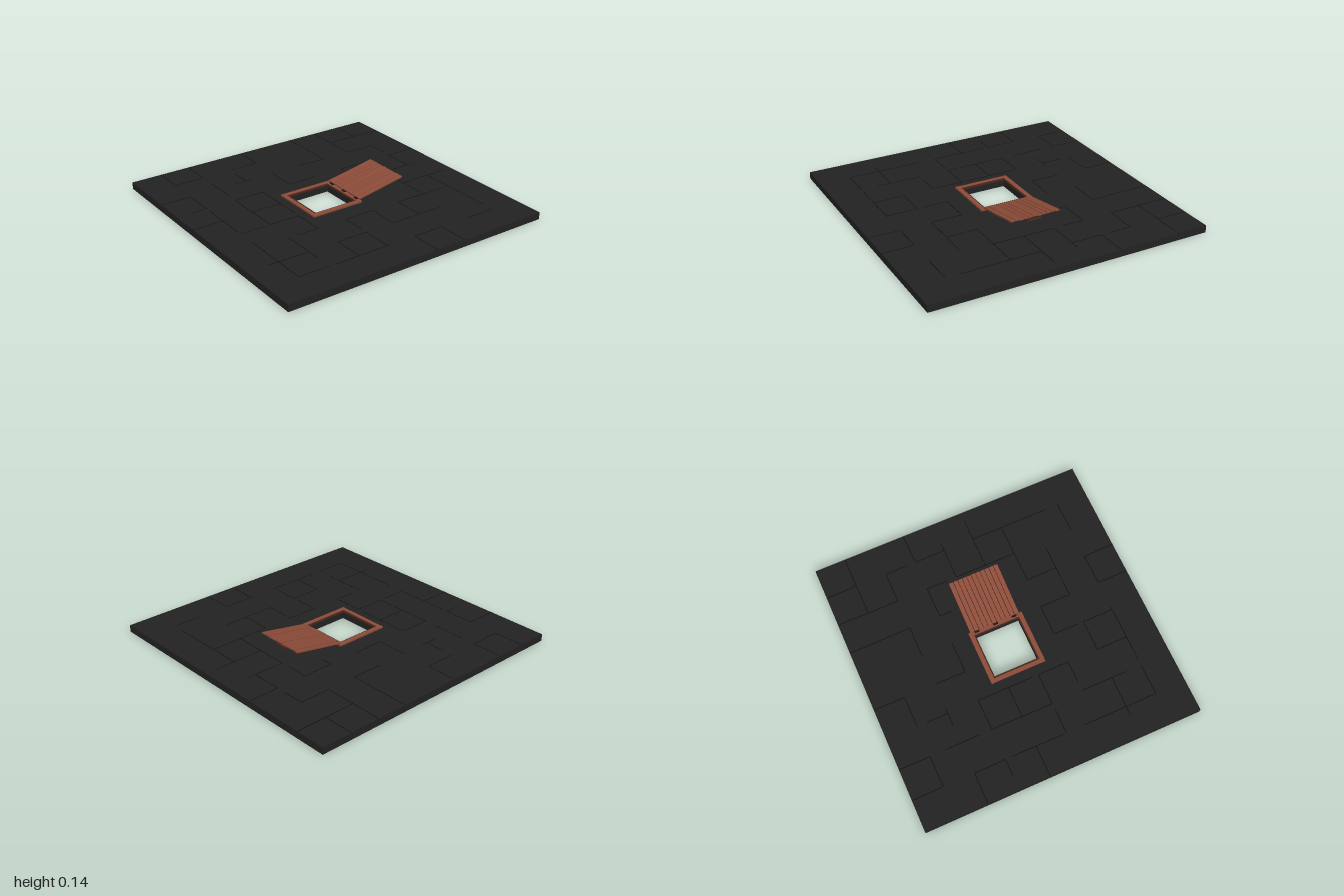
import * as THREE from 'three';

const mat = (name, color) => {
  const m = new THREE.MeshStandardMaterial({ color });
  m.name = name;
  return m;
};

export function createModel() {
  const model = new THREE.Group();
  model.name = 'floorHatch';
  const stone = mat('dark stone', 0x232323);
  const joint = mat('joint shadow', 0x111111);
  const wood = mat('red brown wood', 0x8f4d39);
  const darkWood = mat('dark wood', 0x4a281e);
  const iron = mat('black iron', 0x191616);

  const box = (parent, name, material, w, h, d, x, y, z) => {
    const m = new THREE.Mesh(new THREE.BoxGeometry(w, h, d), material);
    m.name = name;
    m.position.set(x, y, z);
    parent.add(m);
    return m;
  };

  // Hatch centre, hole half size and slab thickness
  const CX = -0.005, CZ = 0.065, HOLE = 0.162, T = 0.05;

  // Stone floor slab with a square opening
  const outline = new THREE.Shape([[-1, -1], [1, -1], [1, 1], [-1, 1]].map(p => new THREE.Vector2(...p)));
  outline.holes.push(new THREE.Path(
    [[-1, -1], [-1, 1], [1, 1], [1, -1]].map(([a, b]) => new THREE.Vector2(CX + a * HOLE, -CZ + b * HOLE))));
  const slabGeo = new THREE.ExtrudeGeometry(outline, { depth: T, bevelEnabled: false });
  slabGeo.rotateX(-Math.PI / 2);
  const slab = new THREE.Mesh(slabGeo, stone);
  slab.name = 'stoneSlab';
  model.add(slab);

  // Broken joints of the nine by nine paving; each entry is [line, from, to] in tiles
  const joints = new THREE.Group();
  joints.name = 'pavingJoints';
  model.add(joints);
  const P = 2 / 9;
  const alongX = [
    [1, 0, 1], [1, 2, 2.7], [1, 3, 4], [1, 5, 7.6], [2, 0, 2], [2, 3, 3.7], [2, 4, 6],
    [3, 0, 2], [3, 3, 3.4], [3, 6, 7], [3, 8, 9], [4, 6, 7], [4, 8, 9],
    [5, 0, 1], [5, 2, 3], [5, 6, 6.8], [5, 7, 8], [6, 1.3, 2], [6, 3, 4.8], [6, 5, 6], [6, 7, 8],
    [7, 0, 1], [7, 1.5, 2.6], [7, 3, 5], [7, 6, 7.5], [8, 0, 1], [8, 2, 3], [8, 3.2, 4.9], [8, 5.6, 8]];
  const alongZ = [
    [1, 0, 2], [1, 5, 6], [1, 7, 8], [2, 1, 2], [2, 3, 4], [2, 5.8, 6.4], [2, 8, 9],
    [3, 0, 1], [3, 2, 3], [3, 4, 5], [3, 6, 7], [3, 8, 8.5], [4, 0.7, 2], [4, 6, 7], [4, 8, 9],
    [5, 0.3, 2], [5, 6, 7], [5, 7.2, 8], [6, 1, 3], [6, 4, 5], [6, 6, 6.7],
    [7, 2.2, 4], [7, 5, 6], [7, 7, 8.3], [8, 1, 2], [8, 3, 4], [8, 4.9, 6.8], [8, 7, 8]];
  const addJoint = ([line, a, b], turned) => {
    const len = (b - a) * P, mid = -1 + (a + b) / 2 * P, at = -1 + line * P;
    const tilt = ((line * 3 + Math.floor(a * 5)) % 5 - 2) * 0.004;
    for (const y of [T, 0]) {
      const s = box(joints, 'joint', joint, len, 0.001, 0.006, turned ? at : mid, y, turned ? mid : at);
      s.rotation.y = tilt + (turned ? Math.PI / 2 : 0);
    }
  };
  alongX.forEach(j => addJoint(j, false));
  alongZ.forEach(j => addJoint(j, true));

  // Wooden frame around the opening, with a dark inner lip
  const frame = new THREE.Group();
  frame.name = 'hatchFrame';
  frame.position.set(CX, T, CZ);
  model.add(frame);
  for (const s of [-1, 1]) {
    box(frame, 'sideRail', wood, 0.031, 0.012, 0.396, s * 0.1845, 0.005, 0.003);
    box(frame, 'crossRail', wood, 0.336, 0.01, 0.028, 0, 0.005, s > 0 ? 0.186 : -0.181);
    box(frame, 'sideLip', darkWood, 0.01, 0.012, 0.33, s * 0.165, 0.002, 0);
    box(frame, 'crossLip', darkWood, 0.33, 0.012, 0.012, 0, 0.002, s * 0.166);
  }

  // Open plank lid, pivoting on the back rail
  const lid = new THREE.Group();
  lid.name = 'hatchLid';
  lid.position.set(-0.009, 0.066, -0.123);
  lid.rotation.x = 0.185;
  model.add(lid);
  const N = 11, pitch = 0.368 / N;
  for (let i = 0; i < N; i++) {
    const lift = ((i * 7) % 4 - 1.5) * 0.001;
    box(lid, 'plank', wood, pitch - 0.004, 0.009, 0.375, (i - (N - 1) / 2) * pitch, 0.001 + lift, -0.189);
  }
  // Battens across the underside
  for (const z of [-0.06, -0.315]) box(lid, 'batten', darkWood, 0.34, 0.007, 0.035, 0, -0.006, z);

  // Pull handle beneath the free edge
  const handle = new THREE.Group();
  handle.name = 'pullHandle';
  handle.position.set(0, -0.005, -0.352);
  lid.add(handle);
  box(handle, 'grip', darkWood, 0.1, 0.011, 0.011, 0, -0.022, 0);
  for (const s of [-1, 1]) box(handle, 'post', darkWood, 0.008, 0.022, 0.008, s * 0.044, -0.011, 0);

  // Three hinges with pins on the back rail
  for (const x of [-0.14, 0, 0.14]) {
    const hinge = new THREE.Group();
    hinge.name = 'hinge';
    hinge.position.set(CX + x, 0.061, -0.123);
    const pin = new THREE.Mesh(new THREE.CylinderGeometry(0.006, 0.006, 0.036, 8), iron);
    pin.name = 'hingePin';
    pin.rotation.z = Math.PI / 2;
    hinge.add(pin);
    box(hinge, 'hingeLeaf', iron, 0.032, 0.003, 0.014, 0, -0.001, 0.004);
    model.add(hinge);
  }
  return model;
}
